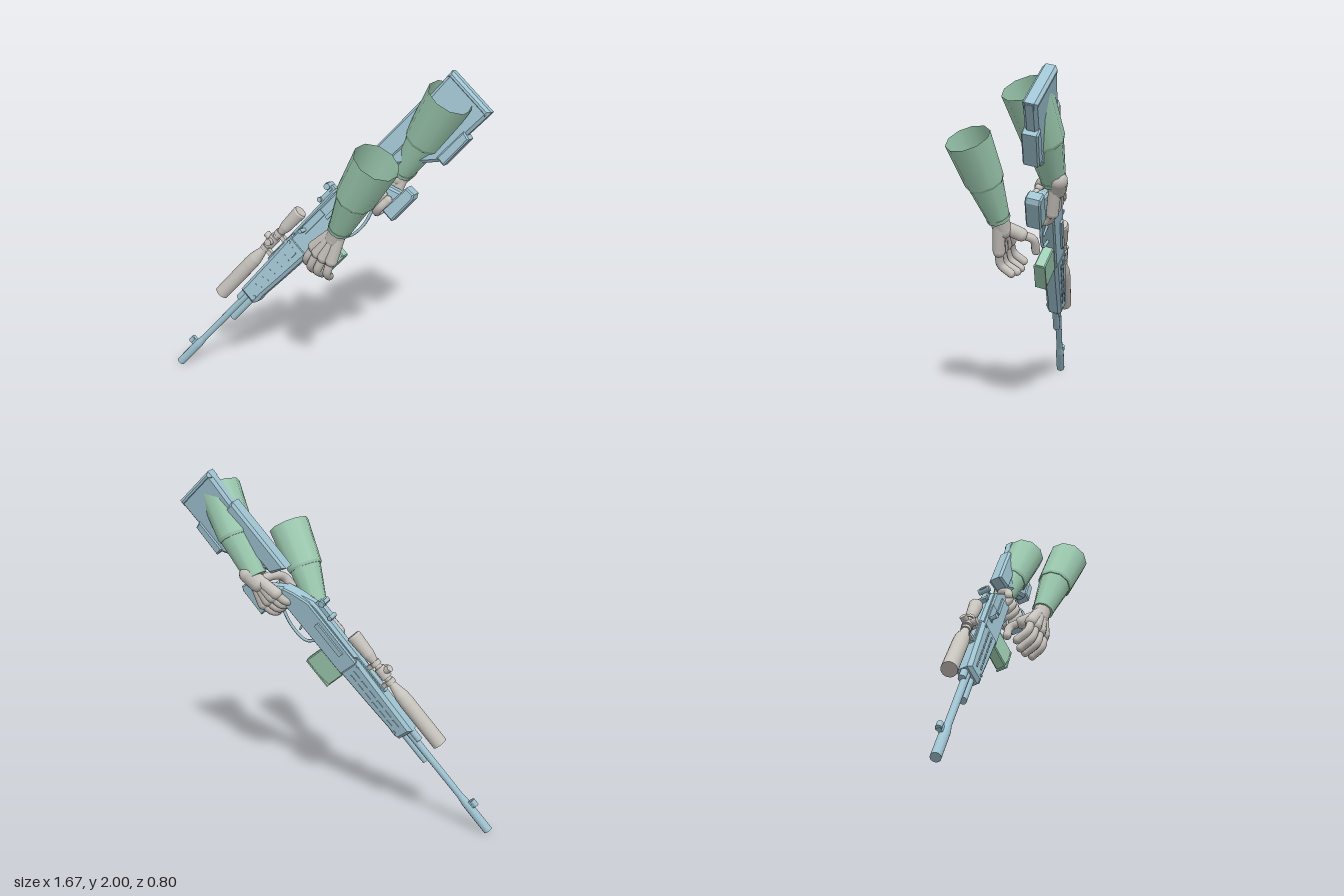
import * as THREE from 'three';

const mat = (name, color, side = THREE.FrontSide) => {
  const m = new THREE.MeshStandardMaterial({ color, side });
  m.name = name;
  return m;
};
const V = (p) => new THREE.Vector3(...p);
const UP = new THREE.Vector3(0, 1, 0);

export function createModel() {
  const blue = mat('steel blue', 0xa0c4d2);
  const green = mat('soft green', 0xa0cfb4, THREE.DoubleSide);
  const grey = mat('warm grey', 0xc8c4be);

  const model = new THREE.Group();
  model.name = 'rifleWithHands';

  const add = (parent, name, geometry, material) => {
    const m = new THREE.Mesh(geometry, material);
    m.name = name;
    parent.add(m);
    return m;
  };
  // Cylinder between two points, r0 at a and r1 at b
  const rod = (parent, name, a, b, r0, r1, material, sides = 12, open = false) => {
    const p = V(a), q = V(b), d = q.clone().sub(p);
    const m = add(parent, name, new THREE.CylinderGeometry(r1, r0, d.length(), sides, 1, open), material);
    m.position.copy(p).add(q).multiplyScalar(0.5);
    m.quaternion.setFromUnitVectors(UP, d.normalize());
    return m;
  };
  // Side profile extruded symmetrically, with a small bevel
  const plate = (parent, name, pts, width, material, bevel = 0.008) => {
    const s = new THREE.Shape(pts.map(([x, y]) => new THREE.Vector2(x, y)));
    const depth = width - 2 * bevel;
    const g = new THREE.ExtrudeGeometry(s, {
      depth, bevelEnabled: true, bevelThickness: bevel, bevelSize: bevel, bevelOffset: -bevel, bevelSegments: 1,
    });
    return add(parent, name, g.translate(0, 0, -depth / 2), material);
  };
  const block = (parent, name, [x, y, z], [w, h, d], material) => {
    const m = add(parent, name, new THREE.BoxGeometry(w, h, d), material);
    m.position.set(x, y, z);
    return m;
  };
  // Rounded limb segment: tube through points with ball ends
  const limb = (parent, name, pts, r) => {
    const path = pts.map(V);
    add(parent, name, new THREE.TubeGeometry(new THREE.CatmullRomCurve3(path), 16, r, 10), grey);
    for (const p of [path[0], path[path.length - 1]]) {
      add(parent, name + 'End', new THREE.SphereGeometry(r, 10, 8), grey).position.copy(p);
    }
  };

  // Rifle frame: x runs from muzzle to butt, y is the rifle's up, z its outer side
  const rifle = new THREE.Group();
  rifle.name = 'rifle';
  const u = V([0.576, 0.764, -0.286]).normalize();
  const up = V([-0.787, 0.615, 0.055]);
  up.addScaledVector(u, -up.dot(u)).normalize();
  const side = u.clone().cross(up);
  rifle.quaternion.setFromRotationMatrix(new THREE.Matrix4().makeBasis(u, up, side));
  rifle.position.set(-0.815, 0.02, 0.385);
  model.add(rifle);

  // Barrel, brake, front sight and gas tube
  rod(rifle, 'barrel', [0.2, 0, 0], [0.8, 0, 0], 0.019, 0.021, blue);
  rod(rifle, 'muzzleBrake', [0, 0, 0], [0.2, 0, 0], 0.026, 0.026, blue);
  rod(rifle, 'brakeTaper', [0.2, 0, 0], [0.26, 0, 0], 0.026, 0.019, blue);
  block(rifle, 'frontSightBase', [0.185, 0.03, 0], [0.045, 0.035, 0.02], blue);
  rod(rifle, 'frontSightHood', [0.165, 0.046, 0], [0.205, 0.046, 0], 0.016, 0.016, blue);
  rod(rifle, 'gasTube', [0.535, -0.036, 0], [0.78, -0.036, 0], 0.021, 0.021, blue);
  rod(rifle, 'upperTube', [0.66, 0.022, 0], [0.78, 0.022, 0], 0.02, 0.02, blue);

  // Handguard with vent ribs on both sides
  plate(rifle, 'handguard', [[0.73, 0.045], [0.73, -0.065], [0.76, -0.078], [0.82, -0.075], [1.0, -0.085],
    [1.24, -0.095], [1.24, 0.06], [1.0, 0.052]], 0.092, blue, 0.018);
  for (const s of [-1, 1]) {
    for (let i = 0; i < 6; i++) {
      block(rifle, 'ventRib', [0.82 + i * 0.07, -0.002, s * 0.046], [0.05, 0.009, 0.008], blue);
      block(rifle, 'lowerVentRib', [0.84 + i * 0.065, -0.036, s * 0.046], [0.045, 0.009, 0.008], blue);
    }
    for (const [x, y] of [[0.78, -0.05], [1.2, 0.035]]) {
      rod(rifle, 'handguardPin', [x, y, s * 0.044], [x, y, s * 0.052], 0.009, 0.009, blue, 8);
    }
  }

  // Receiver, cover and controls
  plate(rifle, 'receiver', [[1.22, 0.045], [1.22, -0.095], [1.7, -0.1], [1.79, -0.11], [1.8, -0.03],
    [1.74, 0.005], [1.65, 0.045]], 0.085, blue);
  plate(rifle, 'receiverCover', [[1.24, 0.03], [1.24, 0.066], [1.6, 0.07], [1.64, 0.062], [1.74, 0.0]], 0.062, blue, 0.016);
  block(rifle, 'sideRail', [1.42, 0.0, -0.046], [0.22, 0.03, 0.016], blue);
  block(rifle, 'ejectionPlate', [1.4, 0.02, 0.044], [0.17, 0.04, 0.008], blue);
  rod(rifle, 'chargingHandle', [1.33, 0.02, 0.04], [1.32, 0.025, 0.09], 0.011, 0.014, blue, 8);
  block(rifle, 'safetyLever', [1.58, -0.02, 0.046], [0.2, 0.02, 0.01], blue);
  block(rifle, 'rearSightBase', [1.56, 0.078, 0], [0.13, 0.028, 0.035], blue);
  block(rifle, 'rearSightLeaf', [1.6, 0.1, 0], [0.022, 0.05, 0.045], blue);
  rod(rifle, 'rearSightKnob', [1.6, 0.105, -0.035], [1.6, 0.105, 0.035], 0.018, 0.018, blue);
  rod(rifle, 'sightWheel', [1.51, 0.085, -0.03], [1.51, 0.085, 0.03], 0.014, 0.014, blue);

  // Magazine
  plate(rifle, 'magazine', [[1.21, -0.08], [1.205, -0.225], [1.3, -0.238], [1.4, -0.235], [1.4, -0.08]], 0.062, green, 0.006);
  block(rifle, 'magazineFloor', [1.3, -0.236, 0], [0.19, 0.01, 0.066], green);

  // Trigger guard, grip and stock
  const guard = new THREE.CatmullRomCurve3([[1.45, -0.09, 0], [1.49, -0.17, 0], [1.6, -0.185, 0], [1.7, -0.16, 0]].map(V));
  add(rifle, 'triggerGuard', new THREE.TubeGeometry(guard, 16, 0.009, 6), blue);
  rod(rifle, 'trigger', [1.58, -0.09, 0], [1.56, -0.155, 0], 0.009, 0.006, blue, 6);
  plate(rifle, 'grip', [[1.7, -0.05], [1.76, -0.205], [1.91, -0.22], [1.87, -0.12], [1.8, -0.03]], 0.065, blue, 0.012);
  plate(rifle, 'gripFoot', [[1.76, -0.2], [1.76, -0.28], [1.93, -0.275], [1.955, -0.26], [1.95, -0.205]], 0.085, blue);
  plate(rifle, 'stock', [[1.9, 0.03], [1.91, -0.04], [2.0, -0.09], [2.17, -0.222], [2.53, -0.228],
    [2.535, 0.055], [2.5, 0.06]], 0.07, blue, 0.016);
  plate(rifle, 'cheekRest', [[1.87, 0.066], [1.905, -0.04], [2.33, -0.05], [2.33, 0.066]], 0.086, blue, 0.014);
  plate(rifle, 'stockFoot', [[2.18, -0.2], [2.18, -0.256], [2.37, -0.25], [2.38, -0.2]], 0.085, blue);
  plate(rifle, 'buttPad', [[2.5, 0.06], [2.5, -0.226], [2.54, -0.226], [2.54, 0.06]], 0.076, blue, 0.014);

  // Scope turned as one profile, then turrets and mount
  const scope = new THREE.Group();
  scope.name = 'scope';
  scope.position.set(0, 0.12, 0);
  rifle.add(scope);
  const prof = [[0.585, 0], [0.585, 0.043], [0.88, 0.043], [0.93, 0.04], [1.01, 0.022], [1.17, 0.021],
    [1.22, 0.034], [1.35, 0.041], [1.36, 0.036], [1.36, 0]];
  for (let i = 0; i < prof.length - 1; i++) {
    const [[x0, r0], [x1, r1]] = [prof[i], prof[i + 1]];
    if (x1 > x0) rod(scope, 'scopeTube', [x0, 0, 0], [x1, 0, 0], r0, r1, grey, 20);
  }
  rod(scope, 'turretHousing', [1.06, 0, 0], [1.13, 0, 0], 0.032, 0.032, grey);
  rod(scope, 'topTurret', [1.095, 0.02, 0], [1.095, 0.056, 0], 0.021, 0.021, grey);
  rod(scope, 'sideTurret', [1.095, 0, 0.02], [1.095, 0, 0.058], 0.021, 0.021, grey);
  for (const x of [1.03, 1.16]) {
    rod(scope, 'mountRing', [x - 0.014, 0, 0], [x + 0.014, 0, 0], 0.029, 0.029, grey);
    block(scope, 'mountLeg', [x, -0.045, 0], [0.026, 0.06, 0.03], grey);
  }
  plate(scope, 'mountBase', [[1.0, -0.055], [1.0, -0.075], [1.36, -0.09], [1.36, -0.055]], 0.04, blue, 0.004);

  // Sleeve: narrow forearm, folded hem, wider open upper part
  const sleeve = (name, cuff, joint, top) => {
    const g = new THREE.Group();
    g.name = name;
    model.add(g);
    const at = (a, b, k) => V(a).lerp(V(b), k).toArray();
    rod(g, 'forearmSleeve', cuff, joint, 0.062, 0.098, green, 10, true);
    rod(g, 'cuffHem', at(cuff, joint, -0.03), at(cuff, joint, 0.06), 0.064, 0.067, green, 10);
    rod(g, 'sleeveFold', at(joint, top, -0.06), joint, 0.1, 0.106, green, 10);
    rod(g, 'upperSleeve', joint, top, 0.106, 0.122, green, 10, true);
  };
  sleeve('frontSleeve', [0.285, 1.205, 0.162], [0.395, 1.42, 0.177], [0.528, 1.645, 0.187]);
  sleeve('rearSleeve', [0.385, 1.435, -0.235], [0.51, 1.645, -0.25], [0.655, 1.895, -0.237]);

  // Supporting hand: palm bones fan from the wrist, fingers curl forward
  const frontHand = new THREE.Group();
  frontHand.name = 'frontHand';
  model.add(frontHand);
  limb(frontHand, 'wrist', [[0.295, 1.23, 0.163], [0.25, 1.14, 0.16]], 0.052);
  const fingers = [
    [[0.135, 1.065, 0.185], [0.09, 0.99, 0.195], [0.05, 0.935, 0.15]],
    [[0.165, 1.045, 0.195], [0.12, 0.955, 0.2], [0.088, 0.9, 0.145]],
    [[0.205, 1.03, 0.195], [0.165, 0.94, 0.2], [0.137, 0.89, 0.14]],
    [[0.25, 1.02, 0.185], [0.225, 0.94, 0.19], [0.2, 0.89, 0.14]],
  ];
  fingers.forEach((f, i) => {
    limb(frontHand, 'palm', [[0.235 + i * 0.015, 1.16, 0.162], f[0]], 0.036);
    limb(frontHand, 'finger', f, 0.024);
  });
  limb(frontHand, 'thumbBase', [[0.235, 1.15, 0.145], [0.18, 1.11, 0.085]], 0.038);
  limb(frontHand, 'thumb', [[0.18, 1.11, 0.085], [0.135, 1.08, 0.035], [0.1, 1.01, 0.04]], 0.024);

  // Gripping hand, in the rifle's frame
  const rearHand = new THREE.Group();
  rearHand.name = 'rearHand';
  rifle.add(rearHand);
  limb(rearHand, 'wrist', [[1.98, -0.125, -0.085], [1.91, -0.12, -0.075]], 0.05);
  for (let i = 0; i < 4; i++) {
    const y = -0.065 - i * 0.04;
    limb(rearHand, 'palm', [[1.92, -0.1 - i * 0.012, -0.07], [1.8, y, -0.07]], 0.034);
    limb(rearHand, 'finger', [[1.8, y, -0.075], [1.73, y, -0.045], [1.72, y, 0.015], [1.77, y, 0.052], [1.83, y, 0.045]], 0.023);
  }
  limb(rearHand, 'thumb', [[1.91, -0.1, -0.06], [1.885, -0.04, -0.01], [1.84, -0.04, 0.045], [1.78, -0.045, 0.055]], 0.026);

  return model;
}
